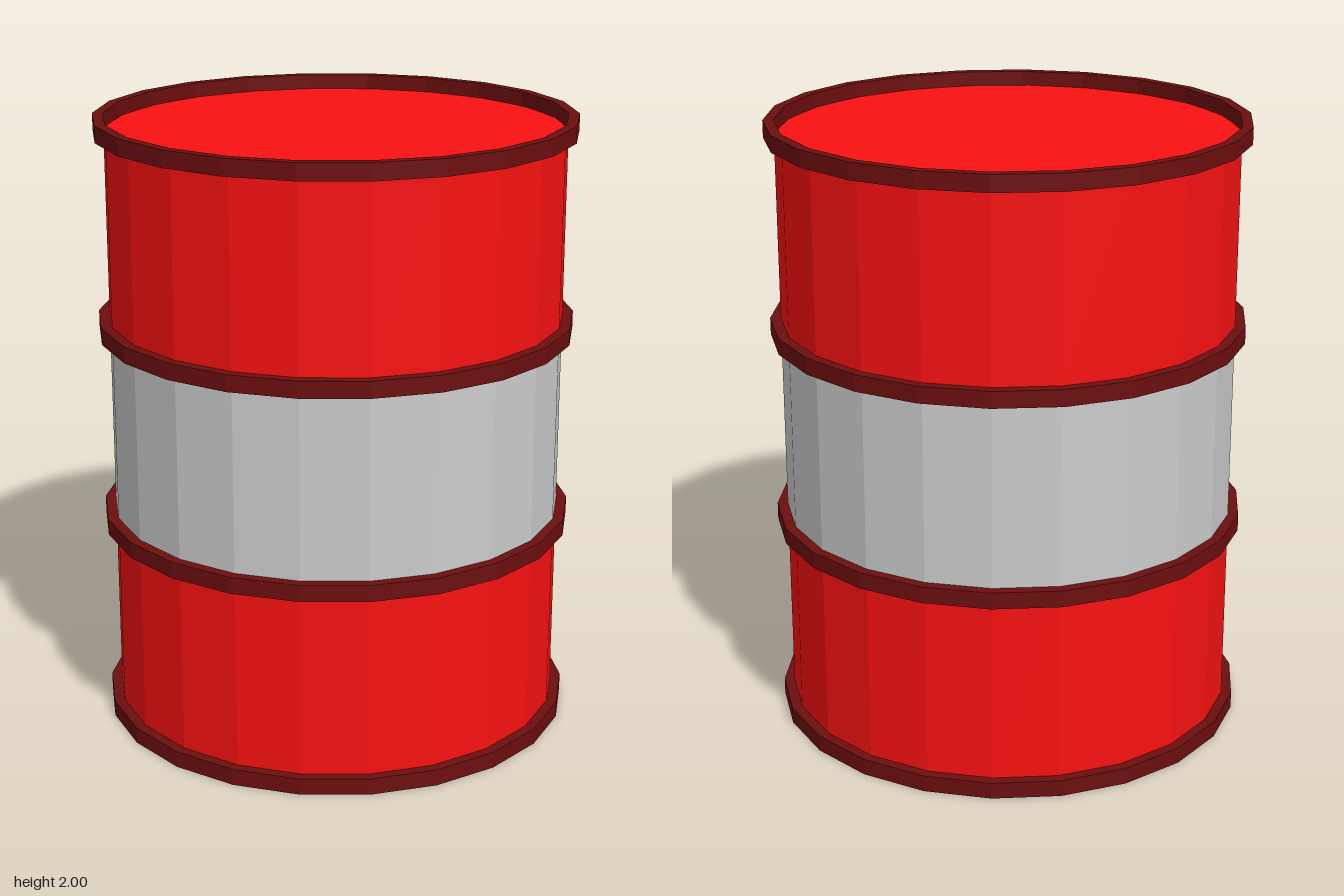
import * as THREE from 'three';

const SIDES = 22;
const TURN = -0.025; // slight twist of the facets about the vertical axis
const BODY_R = 0.738, RING_R = 0.772, RING_H = 0.054;

export function createModel() {
  const barrel = new THREE.Group();
  barrel.name = 'barrel';

  const paint = (color) => new THREE.MeshStandardMaterial({ color, flatShading: true });
  const red = paint(0xf81111), darkRed = paint(0x6c0f0f), grey = paint(0xcccccc);

  const add = (name, geometry, material, y) => {
    const mesh = new THREE.Mesh(geometry, material);
    mesh.name = name;
    mesh.position.y = y;
    barrel.add(mesh);
  };

  // Drum wall section, open at both ends
  const section = (name, y0, y1, material) => add(name,
    new THREE.CylinderGeometry(BODY_R, BODY_R, y1 - y0, SIDES, 1, true, TURN), material, (y0 + y1) / 2);
  section('lowerBody', 0.048, 0.68, red);
  section('middleBand', 0.68, 1.326, grey);
  section('upperBody', 1.326, 1.952, red);

  // Recessed end discs; a circle's angle runs from +x, so shift it to match the wall
  const disc = new THREE.CircleGeometry(BODY_R, SIDES, TURN + Math.PI / 2);
  const lid = disc.clone().rotateX(-Math.PI / 2).rotateY(Math.PI + 2 * TURN);
  const base = disc.clone().rotateX(Math.PI / 2);
  add('lid', lid, red, 1.952);
  add('base', base, red, 0.048);

  // Raised hoops with a square section
  const h = RING_H / 2;
  const profile = [[BODY_R, -h], [RING_R, -h], [RING_R, h], [BODY_R, h], [BODY_R, -h]]
    .map(([r, y]) => new THREE.Vector2(r, y));
  const hoop = new THREE.LatheGeometry(profile, SIDES, TURN);
  [['bottomRim', h], ['lowerHoop', 0.68], ['upperHoop', 1.326], ['topRim', 2 - h]]
    .forEach(([name, y]) => add(name, hoop, darkRed, y));

  return barrel;
}
